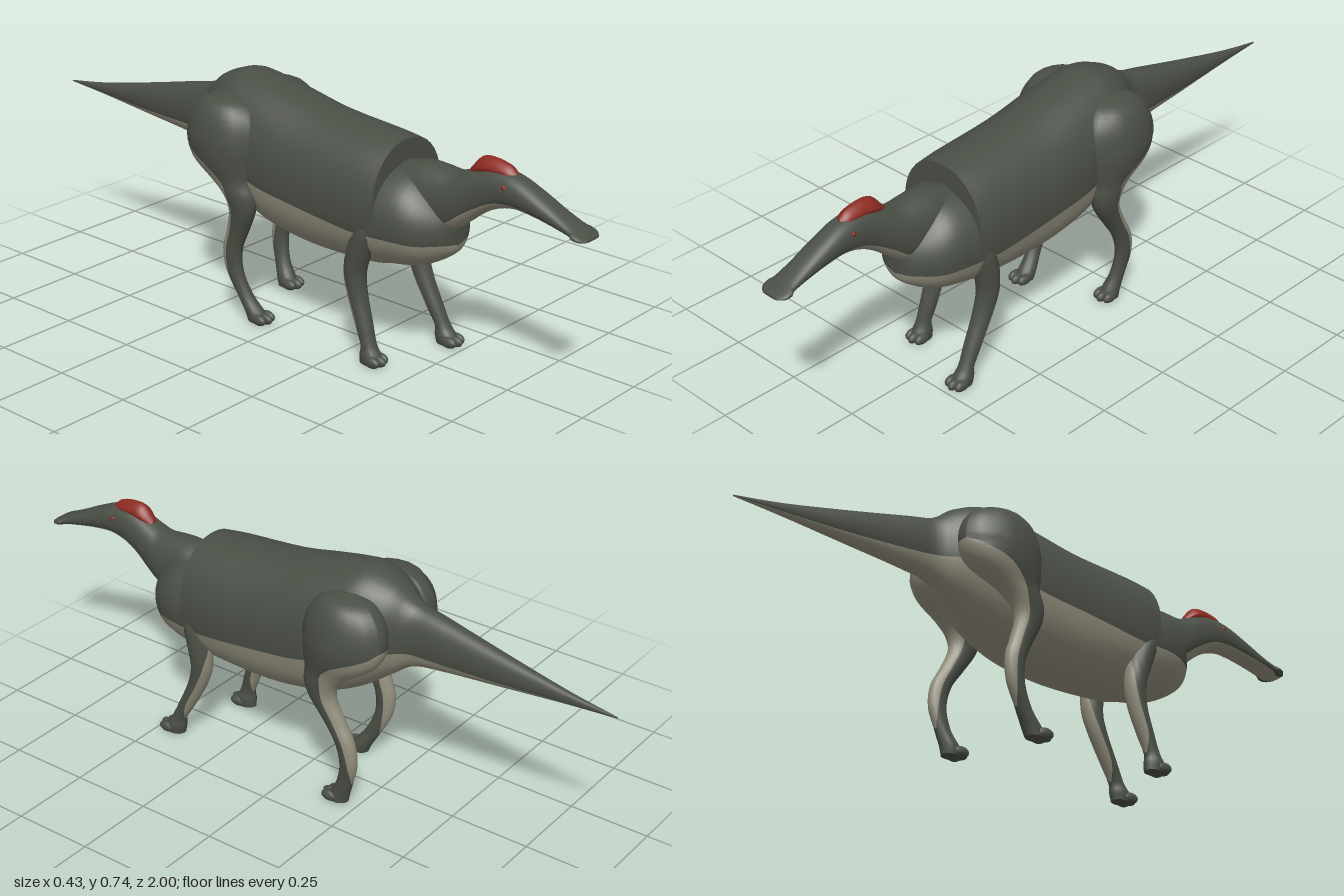
import * as THREE from 'three';

const mat = (name, color) => Object.assign(new THREE.MeshStandardMaterial({ color }), { name });

// Smoothly interpolate rows of numbers, k steps per interval
function resample(rows, k) {
  const out = [];
  for (let i = 0; i < rows.length - 1; i++) {
    const p0 = rows[Math.max(i - 1, 0)], p1 = rows[i], p2 = rows[i + 1], p3 = rows[Math.min(i + 2, rows.length - 1)];
    for (let s = 0; s < k; s++) {
      const t = s / k;
      out.push(p1.map((b, n) => {
        const a = p0[n], c = p2[n], d = p3[n];
        return b + 0.5 * t * (c - a + t * (2 * a - 5 * b + 4 * c - d + t * (3 * (b - c) + d - a)));
      }));
    }
  }
  out.push(rows[rows.length - 1]);
  return out;
}

// Skin rings {c, u, v, q}: the part of each ring below q (along v) takes the second material
function loft(rings, e = 1, top = 22, low = 14) {
  const pos = [], upper = [], lower = [], n = top + low + 1;
  const pw = (x, p) => Math.sign(x) * Math.abs(x) ** p;
  for (const { c, u, v, q } of rings) {
    const a = Math.asin(pw(THREE.MathUtils.clamp(q, -0.97, 0.97), 1 / e));
    for (let j = 0; j < n; j++) {
      const t = j <= top ? a + (Math.PI - 2 * a) * j / top
        : Math.PI - a + (Math.PI + 2 * a) * (j - top) / low;
      const p = c.clone().addScaledVector(u, pw(Math.cos(t), e)).addScaledVector(v, pw(Math.sin(t), e));
      pos.push(p.x, p.y, p.z);
    }
  }
  for (let i = 0; i < rings.length - 1; i++) {
    const plain = rings[i].q < -0.95 && rings[i + 1].q < -0.95;
    for (let j = 0; j < n - 1; j++) {
      const a = i * n + j, b = a + n;
      (j < top || plain ? upper : lower).push(a, a + 1, b, a + 1, b + 1, b);
    }
  }
  // End caps with their own vertices
  [0, rings.length - 1].forEach((r, end) => {
    const base = pos.length / 3;
    pos.push(...pos.slice(r * n * 3, (r + 1) * n * 3), ...rings[r].c.toArray());
    for (let j = 0; j < n - 1; j++) {
      const [a, b] = end ? [j, j + 1] : [j + 1, j];
      upper.push(base + a, base + b, base + n);
    }
  });
  const g = new THREE.BufferGeometry();
  g.setAttribute('position', new THREE.Float32BufferAttribute(pos, 3));
  g.setIndex([...upper, ...lower]);
  g.addGroup(0, upper.length, 0);
  g.addGroup(upper.length, lower.length, 1);
  g.computeVertexNormals();
  return g;
}

const V = (x, y, z) => new THREE.Vector3(x, y, z);

// Rows along the spine, front to back: z, top, bottom, half width, height where the underside begins
function spineLoft(rows, e, k = 4) {
  return loft(resample(rows, k).reverse().map(([z, t, b, w, s]) => {
    const cy = (t + b) / 2, ry = (t - b) / 2;
    return { c: V(0, cy, z), u: V(w, 0, 0), v: V(0, ry, 0), q: (s - cy) / ry };
  }), e);
}

// Rows down a leg: y, x, z, radius x, radius z, limit of the pale rear side
function legLoft(rows, side, shift) {
  return loft(resample(rows, 4).map(([y, x, z, rx, rz, q]) => ({
    c: V(side * x, y, z + shift * Math.max(0, 1 - y / 0.45)), u: V(rx, 0, 0), v: V(0, 0, rz), q,
  })), 1, 14, 8);
}

export function createModel() {
  const model = new THREE.Group();
  const dark = mat('dark grey green hide', 0x4a4f46);
  const pale = mat('pale underside', 0x918d7c);
  const red = mat('red crest', 0x8c2a20);
  const add = (name, geo, m, parent = model) => {
    const mesh = new THREE.Mesh(geo, m);
    mesh.name = name;
    parent.add(mesh);
    return mesh;
  };

  // Trunk tapering into the tail
  add('trunkAndTail', spineLoft([
    [0.38, 0.652, 0.285, 0.155, 0.4], [0.3, 0.662, 0.27, 0.163, 0.4],
    [0.1, 0.68, 0.265, 0.166, 0.425], [-0.05, 0.71, 0.285, 0.165, 0.445],
    [-0.15, 0.73, 0.32, 0.155, 0.475], [-0.22, 0.735, 0.36, 0.14, 0.5],
    [-0.3, 0.705, 0.42, 0.1, 0.515], [-0.36, 0.662, 0.46, 0.058, 0.52],
    [-0.45, 0.64, 0.476, 0.047, 0.517], [-0.65, 0.593, 0.495, 0.031, 0.515],
    [-0.85, 0.55, 0.513, 0.014, 0.52], [-1, 0.527, 0.523, 0.002, 0.524],
  ], 0.92), [dark, pale]);

  // Chest, set lower than the trunk
  add('chest', spineLoft([
    [0.568, 0.45, 0.385, 0.02, 0.388], [0.555, 0.485, 0.355, 0.065, 0.395],
    [0.5, 0.54, 0.318, 0.12, 0.395], [0.44, 0.578, 0.297, 0.145, 0.4],
    [0.36, 0.585, 0.283, 0.156, 0.4],
  ], 0.95), [dark, pale]);

  // Neck, head and flat bill
  add('neckAndHead', spineLoft([
    [1, 0.522, 0.515, 0.03, 0.516], [0.985, 0.532, 0.512, 0.047, 0.513],
    [0.965, 0.541, 0.513, 0.05, 0.515], [0.95, 0.549, 0.517, 0.042, 0.523],
    [0.9, 0.573, 0.526, 0.04, 0.537], [0.83, 0.608, 0.538, 0.042, 0.551],
    [0.76, 0.637, 0.543, 0.044, 0.56], [0.7, 0.645, 0.528, 0.046, 0.552],
    [0.65, 0.636, 0.5, 0.05, 0.527], [0.6, 0.616, 0.46, 0.058, 0.495],
    [0.56, 0.603, 0.432, 0.064, 0.465], [0.5, 0.607, 0.41, 0.07, 0.44],
    [0.44, 0.605, 0.4, 0.075, 0.43], [0.34, 0.58, 0.4, 0.07, 0.43],
  ], 0.9), [dark, pale]);

  // Pointed crest on the crown
  add('crest', spineLoft([
    [0.755, 0.641, 0.62, 0.012, 0.63], [0.73, 0.66, 0.615, 0.024, 0.63],
    [0.68, 0.67, 0.612, 0.028, 0.63], [0.64, 0.663, 0.605, 0.028, 0.63],
    [0.605, 0.625, 0.6, 0.014, 0.61],
  ], 1.3), [red, red]);

  const foreleg = [
    [0.47, 0.11, 0.35, 0.01, 0.02, -1], [0.42, 0.118, 0.35, 0.037, 0.042, -1],
    [0.34, 0.123, 0.335, 0.036, 0.04, -1], [0.27, 0.122, 0.33, 0.033, 0.034, -0.6],
    [0.2, 0.12, 0.35, 0.029, 0.031, -0.3], [0.12, 0.122, 0.39, 0.026, 0.027, -0.3],
    [0.06, 0.125, 0.422, 0.023, 0.024, -1], [0.03, 0.125, 0.435, 0.028, 0.034, -1],
    [0.004, 0.125, 0.44, 0.026, 0.034, -1],
  ];
  const hindleg = [
    [0.685, 0.1, -0.2, 0.015, 0.02, -1], [0.668, 0.112, -0.2, 0.06, 0.08, -1],
    [0.62, 0.118, -0.2, 0.083, 0.122, -1], [0.55, 0.123, -0.2, 0.09, 0.135, -1],
    [0.49, 0.13, -0.19, 0.076, 0.12, -0.2], [0.44, 0.142, -0.16, 0.05, 0.08, 0],
    [0.4, 0.147, -0.138, 0.041, 0.058, -0.3], [0.35, 0.147, -0.14, 0.033, 0.045, -0.4],
    [0.28, 0.143, -0.18, 0.027, 0.037, -0.3], [0.22, 0.143, -0.215, 0.025, 0.033, -0.2],
    [0.15, 0.14, -0.228, 0.022, 0.029, -0.3], [0.08, 0.133, -0.212, 0.021, 0.026, -1],
    [0.03, 0.127, -0.19, 0.027, 0.032, -1], [0.004, 0.127, -0.185, 0.026, 0.032, -1],
  ];

  for (const side of [1, -1]) {
    const label = side > 0 ? 'left' : 'right';
    // Legs in a walking pose, with three toes each
    for (const [kind, rows, stride] of [['Foreleg', foreleg, -0.08], ['HindLeg', hindleg, 0.11]]) {
      const shift = side > 0 ? 0 : stride;
      const leg = new THREE.Group();
      leg.name = label + kind;
      model.add(leg);
      add('limb', legLoft(rows, side, shift), [dark, pale], leg);
      const [, x, z] = rows[rows.length - 1];
      for (const i of [-1, 0, 1]) {
        const toe = add('toe', new THREE.SphereGeometry(1, 12, 8), dark, leg);
        toe.scale.set(0.013, 0.017, 0.028);
        toe.position.set(side * x + i * 0.02, 0.017, z + shift + 0.028 - Math.abs(i) * 0.008);
      }
    }
    // Small eye
    const eye = add(label + 'Eye', new THREE.SphereGeometry(0.007, 12, 8), red);
    eye.position.set(side * 0.042, 0.607, 0.74);
    eye.scale.x = 0.6;
  }
  return model;
}
